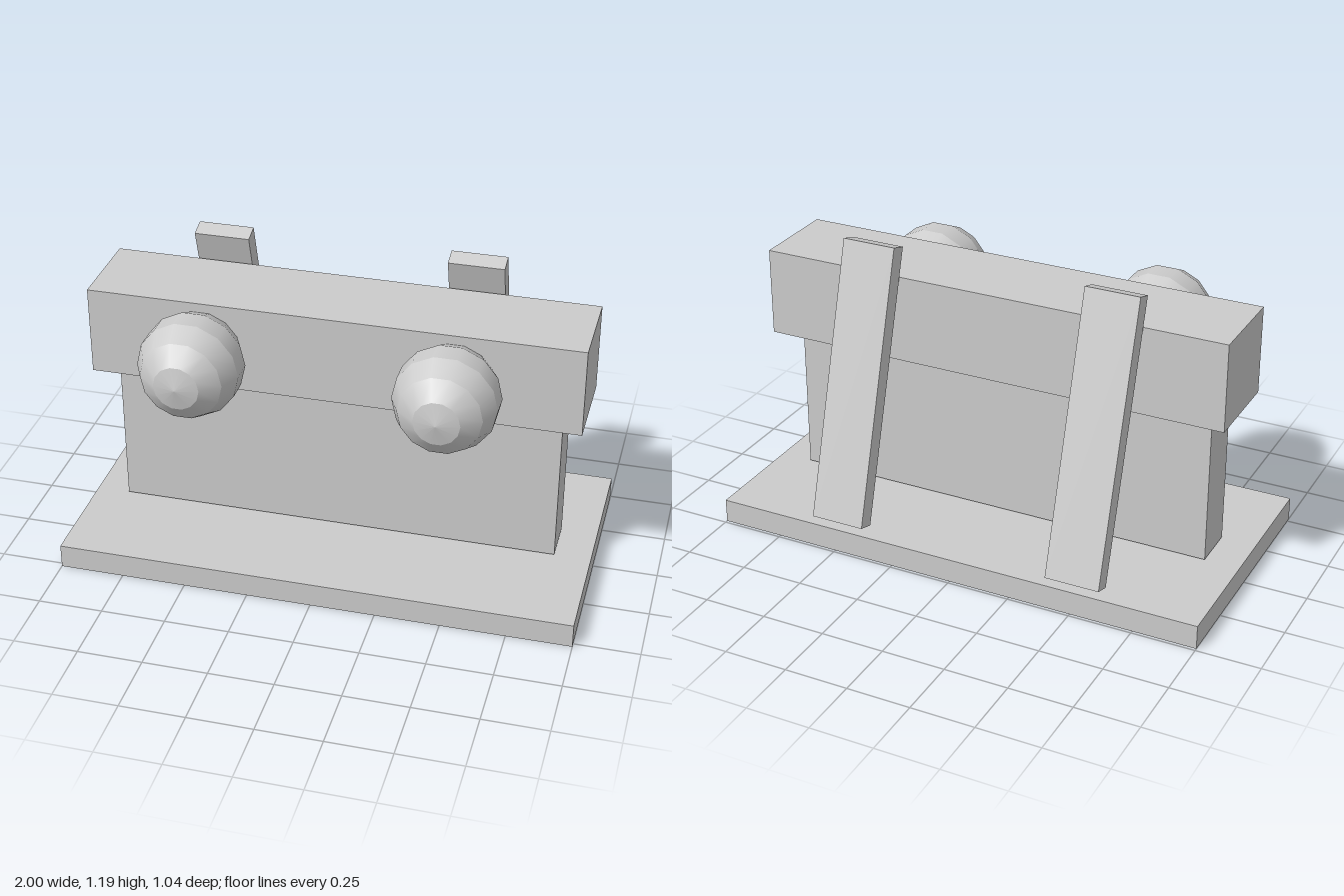
import * as THREE from 'three';
import { mergeGeometries } from 'three/addons/utils/BufferGeometryUtils.js';

// Ball made of conical bands: smooth around its axis, sharp between bands
function bandedBall(radius, sides, bands) {
  const parts = [];
  for (let i = 0; i < bands; i++) {
    const a = (i / bands) * Math.PI, b = ((i + 1) / bands) * Math.PI;
    const top = radius * Math.cos(a), bottom = radius * Math.cos(b);
    const band = new THREE.CylinderGeometry(
      i === 0 ? 0 : radius * Math.sin(a),
      i === bands - 1 ? 0 : radius * Math.sin(b),
      top - bottom, sides, 1, true, Math.PI / 2);
    band.translate(0, (top + bottom) / 2, 0);
    parts.push(band);
  }
  return mergeGeometries(parts).rotateX(Math.PI / 2); // axis faces the front
}

export function createModel() {
  const group = new THREE.Group();
  const material = new THREE.MeshStandardMaterial({ color: 0xcccccc });

  const add = (name, geometry, x, y, z) => {
    const mesh = new THREE.Mesh(geometry, material);
    mesh.name = name;
    mesh.position.set(x, y, z);
    group.add(mesh);
    return mesh;
  };
  // Box given by its lower and upper corners
  const addBox = (name, [x0, y0, z0], [x1, y1, z1]) =>
    add(name, new THREE.BoxGeometry(x1 - x0, y1 - y0, z1 - z0),
      (x0 + x1) / 2, (y0 + y1) / 2, (z0 + z1) / 2);

  // Base, upright wall and the wider beam on top
  addBox('base', [-1, 0, -0.488], [1, 0.095, 0.518]);
  addBox('wall', [-0.866, 0.105, -0.074], [0.86, 0.708, 0.108]);
  addBox('beam', [-0.945, 0.708, -0.163], [0.942, 1.055, 0.192]);

  // Balls set into the front of the beam
  const ball = bandedBall(0.2, 14, 7);
  add('rightBall', ball, -0.5, 0.868, 0.32);
  add('leftBall', ball, 0.463, 0.868, 0.32);

  // Struts leaning behind the beam
  const strut = new THREE.BoxGeometry(0.215, 1.087, 0.069);
  add('rightStrut', strut, -0.518, 0.66, -0.328).rotation.x = 0.289;
  add('leftStrut', strut, 0.469, 0.66, -0.328).rotation.x = 0.289;

  return group;
}
